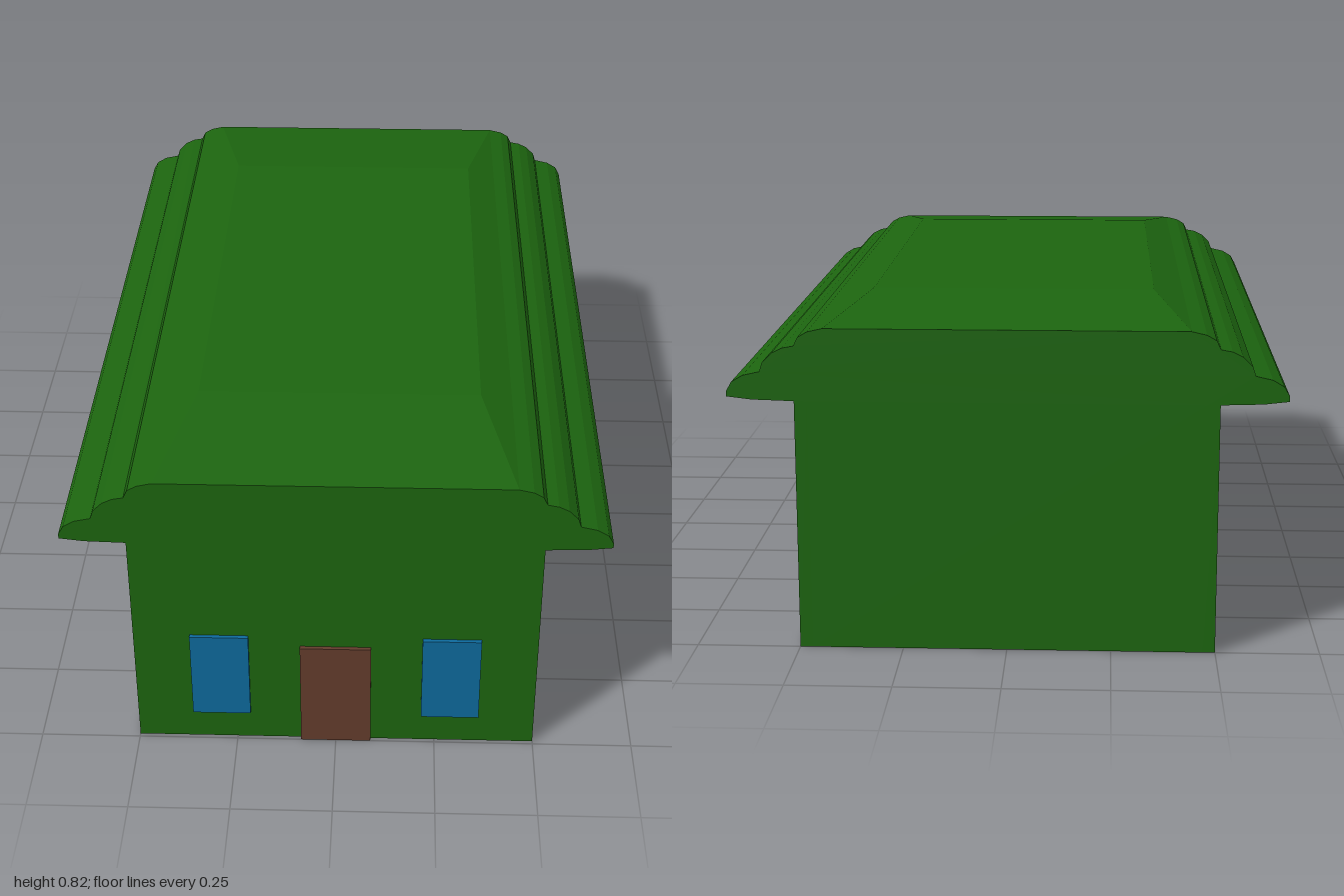
import * as THREE from 'three';
import { ConvexGeometry } from 'three/addons/geometries/ConvexGeometry.js';

const BACK = -1, FRONT = 0.99, LENGTH = FRONT - BACK;
const WALL = 0.5, RECESS = 0.03, EAVE = 0.61;

const paint = (color) => new THREE.MeshStandardMaterial({ color, flatShading: true });

export function createModel() {
  const model = new THREE.Group();
  const green = paint(0x1c640f), blue = paint(0x0d699b), brown = paint(0x623c2c);

  function add(name, geometry, material, parent = model) {
    const mesh = new THREE.Mesh(geometry, material);
    mesh.name = name;
    parent.add(mesh);
    return mesh;
  }
  // Box given by its minimum and maximum corners
  function block(name, material, x0, x1, y0, y1, z0, z1, parent = model) {
    const mesh = add(name, new THREE.BoxGeometry(x1 - x0, y1 - y0, z1 - z0), material, parent);
    mesh.position.set((x0 + x1) / 2, (y0 + y1) / 2, (z0 + z1) / 2);
  }

  // Core of the house and stepped, scalloped roof in one cross-section
  const half = [
    [WALL - RECESS, 0], [WALL - RECESS, EAVE], [0.5, EAVE], [0.6, 0.613], [0.66, 0.62],
    [0.66, 0.632], [0.647, 0.655], [0.62, 0.671], [0.58, 0.68],
    [0.573, 0.702], [0.55, 0.725], [0.525, 0.737], [0.498, 0.742],
    [0.488, 0.763], [0.465, 0.776], [0.43, 0.784],
  ];
  const outline = [...half, ...half.map(([x, y]) => [-x, y]).reverse()];
  const section = new THREE.Shape(outline.map(([x, y]) => new THREE.Vector2(x, y)));
  const house = new THREE.ExtrudeGeometry(section, { depth: LENGTH, bevelEnabled: false });
  house.translate(0, 0, BACK);
  add('houseAndRoof', house, green);

  // Shallow hipped cap on top of the roof
  const cap = [];
  for (const s of [-1, 1]) {
    for (const [z, ridge] of [[BACK, -0.64], [FRONT, 0.64]]) {
      cap.push(new THREE.Vector3(s * 0.43, 0.784, z), new THREE.Vector3(s * 0.35, 0.82, ridge));
    }
  }
  add('roofCap', new ConvexGeometry(cap), green);

  // Side walls pierced by two rows of four windows
  const windows = [];
  for (const z of [0.81, 0.27, -0.27, -0.815]) {
    for (const y of [0.085, 0.355]) windows.push({ z0: z - 0.08, z1: z + 0.08, y0: y, y1: y + 0.186 });
  }
  const rect = (P, x0, x1, y0, y1) => new P([[x0, y0], [x1, y0], [x1, y1], [x0, y1]]
    .map(([x, y]) => new THREE.Vector2(x, y)));
  const wallShape = rect(THREE.Shape, BACK, FRONT, 0, EAVE);
  wallShape.holes = windows.map((w) => rect(THREE.Path, w.z0, w.z1, w.y0, w.y1));
  const wall = new THREE.ExtrudeGeometry(wallShape, { depth: RECESS, bevelEnabled: false });
  wall.rotateY(-Math.PI / 2);

  const t = 0.002; // thickness of panes and linings
  for (const [side, s] of [['left', 1], ['right', -1]]) {
    add(side + 'Wall', wall, green).position.x = s > 0 ? WALL : -WALL + RECESS;

    for (const { z0, z1, y0, y1 } of windows) {
      const window = new THREE.Group();
      window.name = side + 'Window';
      model.add(window);
      const inner = s * (WALL - RECESS), outer = s * WALL;
      const x0 = Math.min(inner, outer), x1 = Math.max(inner, outer);
      const pane = [inner, inner + s * t].sort((a, b) => a - b);
      // All but the foremost windows have a brown head and front jamb
      const accent = z0 > 0.5 ? blue : brown;
      block('pane', blue, pane[0], pane[1], y0, y1, z0, z1, window);
      block('sill', blue, x0, x1, y0, y0 + t, z0, z1, window);
      block('head', accent, x0, x1, y1 - t, y1, z0, z1, window);
      block('backJamb', blue, x0, x1, y0 + t, y1 - t, z0, z0 + t, window);
      block('frontJamb', accent, x0, x1, y0 + t, y1 - t, z1 - t, z1, window);
    }
  }

  // Door and windows standing slightly proud of the front
  block('door', brown, -0.088, 0.088, 0, 0.3, FRONT, 1);
  block('frontWindowLeft', blue, 0.215, 0.36, 0.085, 0.33, FRONT, 1);
  block('frontWindowRight', blue, -0.36, -0.215, 0.085, 0.33, FRONT, 1);

  return model;
}
